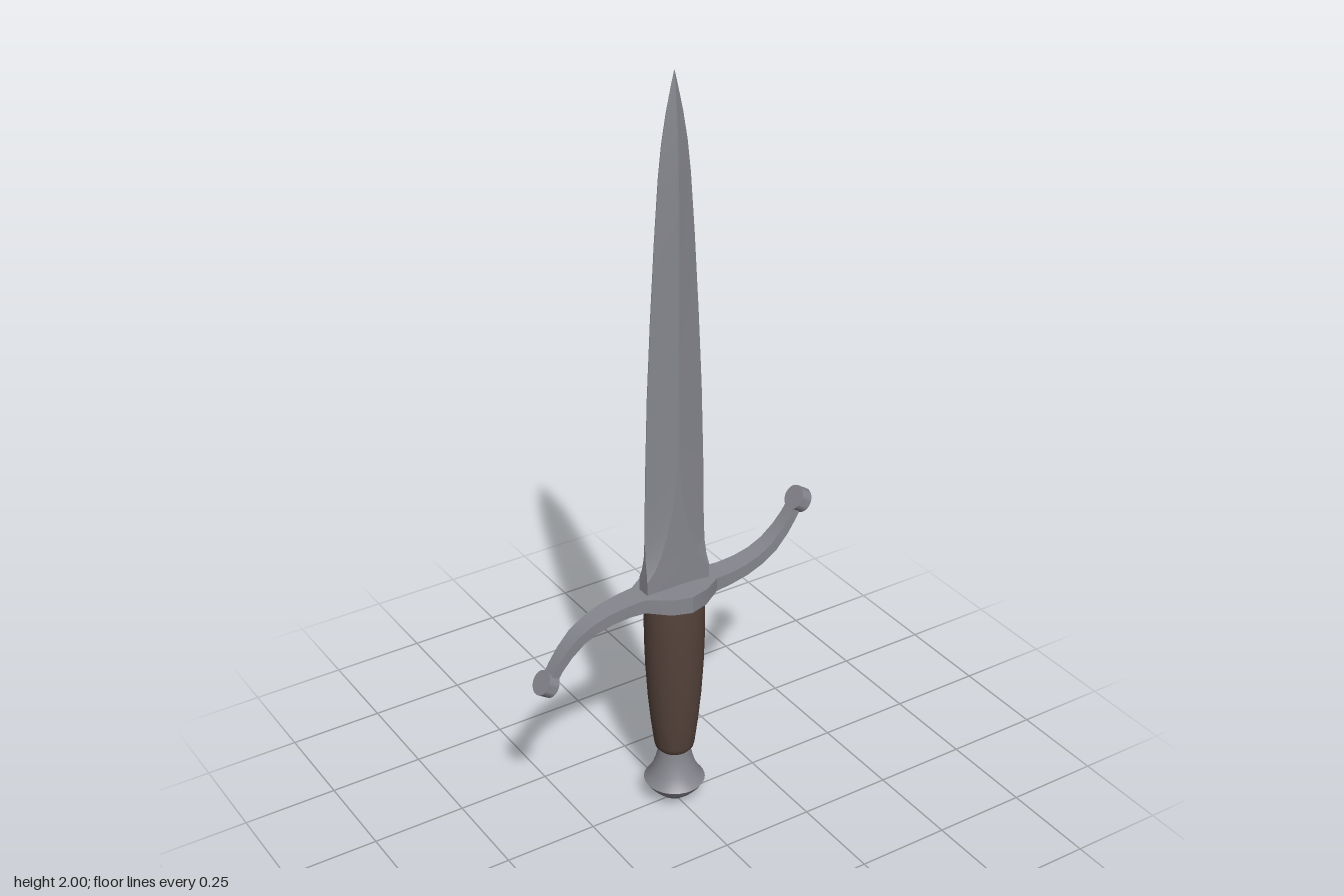
import * as THREE from 'three';
import { toCreasedNormals } from 'three/addons/utils/BufferGeometryUtils.js';

// Skin a list of equal-length rings of [x, y, z] points, with end caps
function loft(rings, crease) {
  const n = rings[0].length;
  const index = [];
  for (let r = 0; r < rings.length - 1; r++) {
    for (let i = 0; i < n; i++) {
      const j = (i + 1) % n;
      const a = r * n + i, b = r * n + j, c = a + n, d = b + n;
      index.push(a, b, d, a, d, c);
    }
  }
  const last = (rings.length - 1) * n;
  for (let i = 1; i < n - 1; i++) {
    index.push(0, i + 1, i, last, last + i, last + i + 1);
  }
  const geo = new THREE.BufferGeometry();
  geo.setAttribute('position', new THREE.Float32BufferAttribute(rings.flat(2), 3));
  geo.setIndex(index);
  return toCreasedNormals(geo, crease);
}

function lathe(points, segments = 32) {
  return new THREE.LatheGeometry(points.map(([r, y]) => new THREE.Vector2(r, y)), segments);
}

export function createModel() {
  const steel = new THREE.MeshStandardMaterial({ color: 0x85858d });
  steel.name = 'steel';
  const leather = new THREE.MeshStandardMaterial({ color: 0x54423a });
  leather.name = 'brown leather';

  const model = new THREE.Group();
  model.name = 'dagger';
  const add = (name, geo, mat, parent = model) => {
    const mesh = new THREE.Mesh(geo, mat);
    mesh.name = name;
    parent.add(mesh);
    return mesh;
  };

  // Blade: square-edged base blending into a ridged diamond section
  // rows: y, half width, half width of flat, half thickness, half edge thickness
  const bladeRows = [
    [0.63, 0.092, 0.0915, 0.019, 0.0185],
    [0.70, 0.091, 0.085, 0.019, 0.0185],
    [0.725, 0.088, 0.07, 0.019, 0.011],
    [0.76, 0.087, 0.052, 0.0188, 0.004],
    [0.82, 0.086, 0.032, 0.0186, 0.001],
    [0.90, 0.085, 0.014, 0.0184, 0.001],
    [1.00, 0.083, 0.004, 0.018, 0.001],
    [1.20, 0.077, 0.002, 0.018, 0.001],
    [1.40, 0.067, 0.002, 0.018, 0.001],
    [1.60, 0.055, 0.002, 0.018, 0.001],
    [1.75, 0.044, 0.002, 0.017, 0.001],
    [1.83, 0.035, 0.002, 0.014, 0.001],
    [1.90, 0.023, 0.0015, 0.010, 0.001],
    [1.96, 0.010, 0.001, 0.005, 0.0005],
    [2.00, 0.0004, 0.0002, 0.0004, 0.0002],
  ];
  add('blade', loft(bladeRows.map(([y, w, f, t, e]) => [
    [w, y, e], [w, y, -e], [f, y, -t], [-f, y, -t],
    [-w, y, -e], [-w, y, e], [-f, y, t], [f, y, t],
  ]), 0.15), steel);

  // Crossguard: S-curved bar, point-symmetric about its centre
  // rows: x, rise above centre, half height, half depth
  const arm = [
    [0.05, -0.001, 0.022, 0.071],
    [0.105, -0.004, 0.019, 0.034],
    [0.15, -0.003, 0.017, 0.031],
    [0.20, 0.004, 0.016, 0.028],
    [0.245, 0.018, 0.015, 0.025],
    [0.285, 0.040, 0.014, 0.023],
    [0.32, 0.073, 0.013, 0.020],
    [0.345, 0.105, 0.012, 0.018],
    [0.368, 0.142, 0.011, 0.017],
  ];
  const guardY = 0.642;
  const bar = [
    ...arm.map(([x, y, h, d]) => [-x, -y, h, d]).reverse(),
    [0, 0, 0.023, 0.085],
    ...arm,
  ];
  const guard = new THREE.Group();
  guard.name = 'crossguard';
  guard.position.y = guardY;
  model.add(guard);
  add('guardBar', loft(bar.map(([x, y, h, d], i) => {
    const p = bar[Math.max(i - 1, 0)], q = bar[Math.min(i + 1, bar.length - 1)];
    const a = Math.atan2(q[1] - p[1], q[0] - p[0]);
    const nx = -Math.sin(a) * h, ny = Math.cos(a) * h;
    return [
      [x + nx, y + ny, d], [x - nx, y - ny, d],
      [x - nx, y - ny, -d], [x + nx, y + ny, -d],
    ];
  }), 0.45), steel, guard);

  // Disc finials lying along each end of the bar
  for (const side of [1, -1]) {
    const disc = add(side > 0 ? 'leftFinial' : 'rightFinial',
      toCreasedNormals(new THREE.CylinderGeometry(0.032, 0.032, 0.032, 24), 0.6), steel, guard);
    disc.position.set(0.374 * side, 0.145 * side, 0);
    disc.rotation.z = 1.0;
  }

  // Grip: tapered handle, slightly flattened towards the guard
  const gripGeo = lathe([
    [0, 0.16], [0.043, 0.16], [0.05, 0.168], [0.053, 0.18], [0.062, 0.25],
    [0.07, 0.33], [0.076, 0.42], [0.079, 0.5], [0.08, 0.58], [0.078, 0.625], [0, 0.625],
  ]);
  const pos = gripGeo.attributes.position;
  for (let i = 0; i < pos.count; i++) {
    const k = THREE.MathUtils.mapLinear(pos.getY(i), 0.16, 0.625, 1, 0.89);
    pos.setZ(i, pos.getZ(i) * k);
  }
  add('grip', toCreasedNormals(gripGeo, 0.6), leather);

  // Pommel: flared neck over a rounded cap, meeting at a sharp rim
  const pommel = new THREE.Group();
  pommel.name = 'pommel';
  model.add(pommel);
  add('pommelCap', lathe([
    [0, 0], [0.018, 0.003], [0.036, 0.013], [0.055, 0.03], [0.071, 0.048], [0.08, 0.062],
  ]), steel, pommel);
  add('pommelNeck', lathe([
    [0.08, 0.062], [0.07, 0.074], [0.059, 0.095], [0.05, 0.12], [0.044, 0.145], [0.042, 0.17],
  ]), steel, pommel);

  return model;
}
